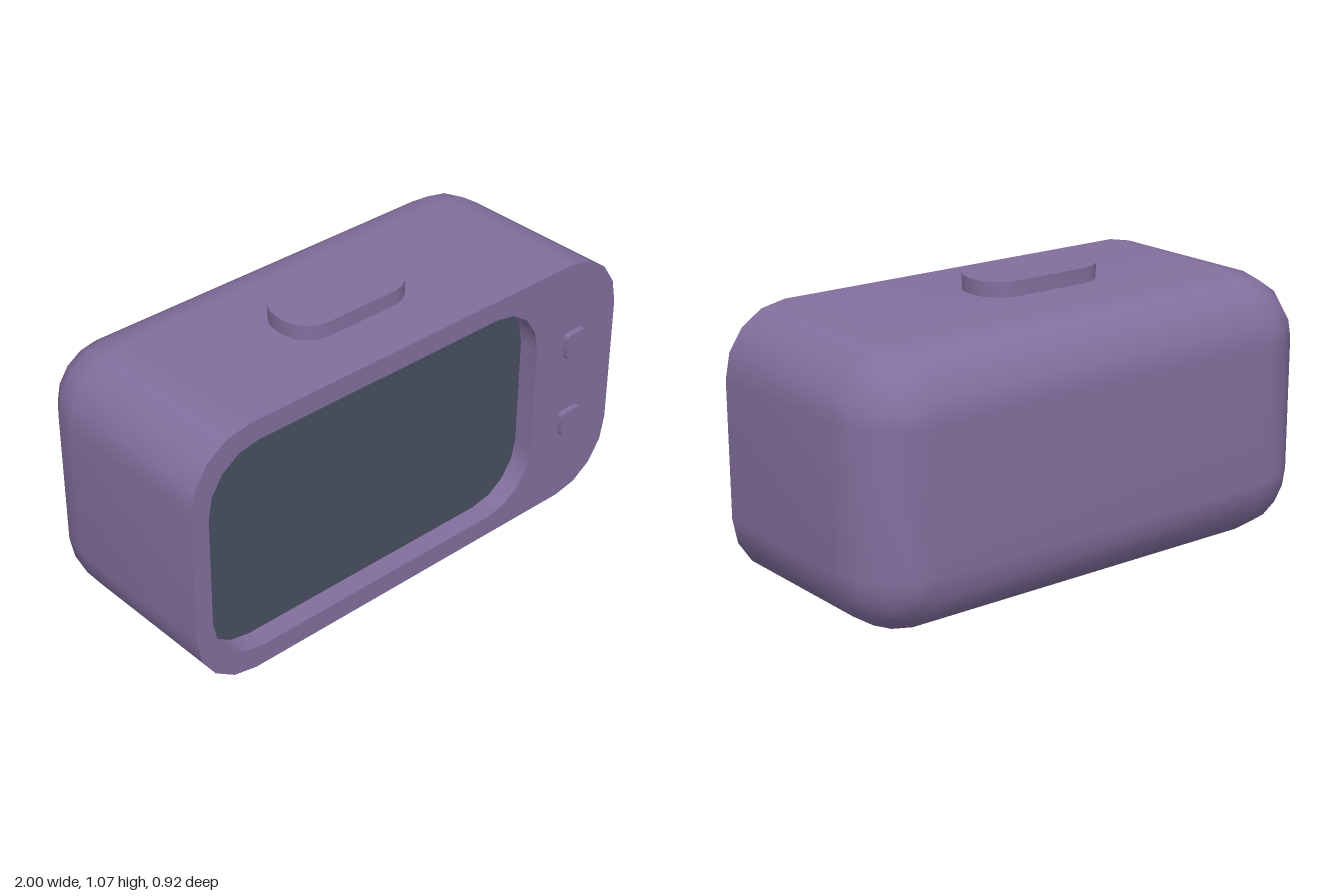
import * as THREE from 'three';
import { mergeVertices, toCreasedNormals } from 'three/addons/utils/BufferGeometryUtils.js';

// Corner points of a rounded rectangle, counter-clockwise
function roundedRect(x0, x1, y0, y1, r, seg = 4) {
  const centres = [[x1 - r, y1 - r], [x0 + r, y1 - r], [x0 + r, y0 + r], [x1 - r, y0 + r]];
  const pts = [];
  centres.forEach(([cx, cy], q) => {
    for (let i = 0; i <= seg; i++) {
      const a = (q + i / seg) * Math.PI / 2;
      pts.push(new THREE.Vector2(cx + r * Math.cos(a), cy + r * Math.sin(a)));
    }
  });
  return pts;
}

// Skin through rings of { pts, z }: back to front faces outward, front to back faces inward
function loft(rings, capFirst) {
  const pos = [], idx = [], n = rings[0].pts.length;
  rings.forEach(({ pts, z }) => pts.forEach(p => pos.push(p.x, p.y, z)));
  for (let k = 0; k < rings.length - 1; k++) {
    for (let i = 0; i < n; i++) {
      const a = k * n + i, b = k * n + (i + 1) % n;
      idx.push(a, b, b + n, a, b + n, a + n);
    }
  }
  if (capFirst) for (let i = 1; i < n - 1; i++) idx.push(0, i + 1, i);
  const g = new THREE.BufferGeometry();
  g.setAttribute('position', new THREE.Float32BufferAttribute(pos, 3));
  g.setIndex(idx);
  const merged = mergeVertices(g, 1e-4);
  merged.computeVertexNormals();
  return merged;
}

// Raised button with soft sides and sharp rims
function buttonGeometry(w, h, r, depth) {
  const shape = new THREE.Shape(roundedRect(-w / 2, w / 2, -h / 2, h / 2, r));
  const g = new THREE.ExtrudeGeometry(shape, { depth, bevelEnabled: false });
  return toCreasedNormals(g, 0.6);
}

export function createModel() {
  const group = new THREE.Group();
  const purple = new THREE.MeshStandardMaterial({ color: 0x826f9d });
  const slate = new THREE.MeshStandardMaterial({ color: 0x484e61 });
  purple.name = 'purple casing';
  slate.name = 'dark slate screen';

  const add = (name, geometry, material, x = 0, y = 0, z = 0) => {
    const mesh = new THREE.Mesh(geometry, material);
    mesh.name = name;
    mesh.position.set(x, y, z);
    group.add(mesh);
    return mesh;
  };

  const H = 1.013, front = 0.437, back = -0.46, R = 0.25, depth = 0.08;

  // Casing: rounded back edge, straight sides to the front
  const rings = [];
  for (let i = 0; i <= 4; i++) {
    const a = i / 4 * Math.PI / 2;
    const inset = R * (1 - Math.sin(a));
    rings.push({
      pts: roundedRect(-1 + inset, 1 - inset, inset, H - inset, R - inset),
      z: back + R * (1 - Math.cos(a)),
    });
  }
  rings.push({ pts: roundedRect(-1, 1, 0, H, R), z: front });
  add('casing', loft(rings, true), purple);

  // Front frame with the screen opening
  const opening = roundedRect(-0.93, 0.59, 0.08, 0.935, 0.215);
  const frame = new THREE.Shape(roundedRect(-1, 1, 0, H, R));
  frame.holes.push(new THREE.Path(opening));
  add('frontFrame', new THREE.ShapeGeometry(frame), purple, 0, 0, front);

  // Recess wall and sunken screen
  add('screenRecess', loft([{ pts: opening, z: front }, { pts: opening, z: front - depth }], false), purple);
  add('screen', new THREE.ShapeGeometry(new THREE.Shape(opening)), slate, 0, 0, front - depth);

  // Two square buttons beside the screen
  [['upperButton', 0.678], ['lowerButton', 0.337]].forEach(([name, y]) =>
    add(name, buttonGeometry(0.105, 0.105, 0.02, 0.023), purple, 0.783, y, front));

  // Long button on top
  add('topButton', buttonGeometry(0.525, 0.26, 0.11, 0.057), purple, -0.063, H, 0.085)
    .rotation.x = -Math.PI / 2;

  return group;
}
